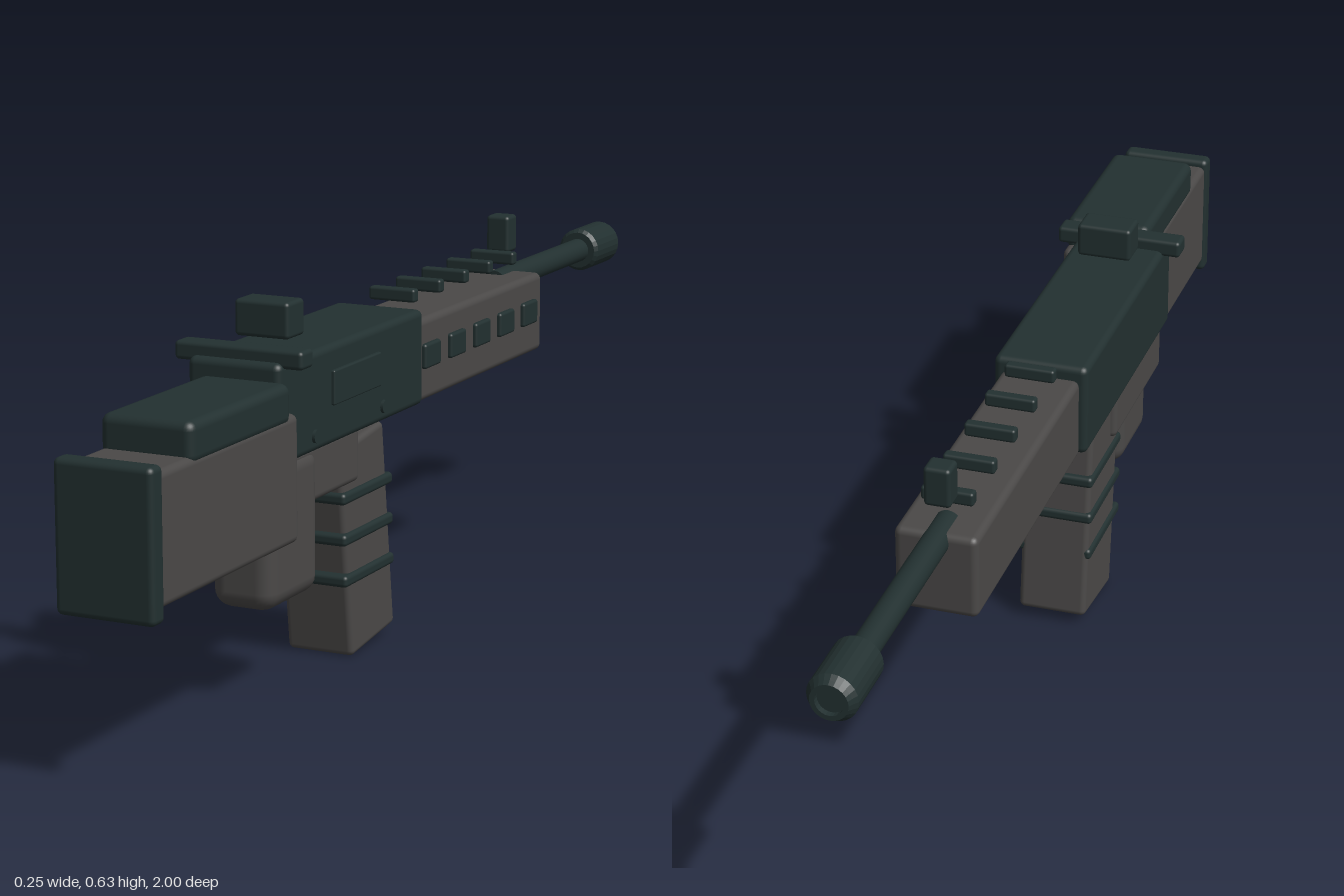
import * as THREE from 'three';
import { RoundedBoxGeometry } from 'three/addons/geometries/RoundedBoxGeometry.js';

export function createModel() {
  const model = new THREE.Group();
  const darkMetal = new THREE.MeshStandardMaterial({ color: 0x223030 });
  darkMetal.name = 'darkMetal';
  const greyPolymer = new THREE.MeshStandardMaterial({ color: 0x4a4847 });
  greyPolymer.name = 'greyPolymer';

  function add(name, geometry, material, x = 0, y = 0, z = 0) {
    const mesh = new THREE.Mesh(geometry, material);
    mesh.name = name;
    mesh.position.set(x, y, z);
    model.add(mesh);
    return mesh;
  }

  // Rounded block given by its extents on each axis
  function block(name, material, [x0, x1], [y0, y1], [z0, z1], radius = 0.01) {
    return add(name, new RoundedBoxGeometry(x1 - x0, y1 - y0, z1 - z0, 3, radius), material,
      (x0 + x1) / 2, (y0 + y1) / 2, (z0 + z1) / 2);
  }

  // Shoulder stock
  block('stock', greyPolymer, [-0.037, 0.117], [0.285, 0.488], [0.54, 0.975], 0.012);
  block('buttPad', darkMetal, [-0.041, 0.123], [0.267, 0.5], [0.965, 1], 0.01);
  block('cheekRest', darkMetal, [-0.037, 0.118], [0.475, 0.54], [0.565, 0.875], 0.015);

  // Receiver with its sights and side details
  block('receiver', darkMetal, [-0.094, 0.069], [0.39, 0.553], [-0.007, 0.513], 0.012);
  block('chargingHandle', darkMetal, [-0.124, 0.101], [0.543, 0.573], [0.459, 0.5], 0.007);
  block('rearSight', darkMetal, [-0.06, 0.036], [0.572, 0.631], [0.363, 0.421], 0.007);
  block('ejectionPort', darkMetal, [0.065, 0.075], [0.455, 0.512], [0.167, 0.337], 0.003);
  for (const z of [0.395, 0.15]) {
    const pin = add('receiverPin', new THREE.CylinderGeometry(0.011, 0.011, 0.012, 16), darkMetal, 0.068, 0.417, z);
    pin.rotation.z = Math.PI / 2;
  }

  // Grip and lower housing
  block('lowerHousing', greyPolymer, [-0.083, 0.057], [0.303, 0.398], [0.21, 0.5], 0.012);
  block('grip', greyPolymer, [-0.05, 0.062], [0.157, 0.398], [0.36, 0.533], 0.03);

  // Slanted magazine with level bands
  const magazine = add('magazine', new RoundedBoxGeometry(0.121, 0.362, 0.163, 3, 0.01), greyPolymer, -0.0125, 0.193, 0.163);
  magazine.rotation.x = 0.12;
  [0.281, 0.211, 0.141].forEach((y, i) => {
    const z = 0.173 - i * 0.003;
    block('magazineBand', darkMetal, [-0.078, 0.055], [y - 0.01, y + 0.01], [z - 0.091, z + 0.091], 0.007);
  });

  // Handguard with side vents and raised top ribs
  block('handguard', greyPolymer, [-0.081, 0.055], [0.387, 0.53], [-0.543, 0], 0.012);
  for (let i = 0; i < 5; i++) {
    const z = -0.06 - i * 0.104;
    block('handguardVent', darkMetal, [0.047, 0.063], [0.444, 0.487], [z - 0.031, z + 0.031], 0.005);
    block('topRib', darkMetal, [-0.056, 0.03], [0.552, 0.575], [z - 0.01, z + 0.01], 0.005);
  }
  block('frontSight', darkMetal, [-0.034, 0.01], [0.569, 0.636], [-0.53, -0.489], 0.007);

  // Barrel and hollow muzzle
  const barrel = add('barrel', new THREE.CylinderGeometry(0.022, 0.022, 0.42, 24), darkMetal, -0.013, 0.515, -0.69);
  barrel.rotation.x = Math.PI / 2;
  const profile = [[0, -0.875], [0.034, -0.875], [0.04, -0.882], [0.04, -0.985],
    [0.034, -0.993], [0.03, -1], [0.022, -1], [0.022, -0.99], [0, -0.99]];
  const points = profile.map(([r, z]) => new THREE.Vector2(r, -z));
  const muzzleGeometry = new THREE.LatheGeometry(points, 24).toNonIndexed();
  muzzleGeometry.computeVertexNormals();
  const muzzle = add('muzzle', muzzleGeometry, darkMetal, -0.013, 0.515, 0);
  muzzle.rotation.x = -Math.PI / 2;

  return model;
}
